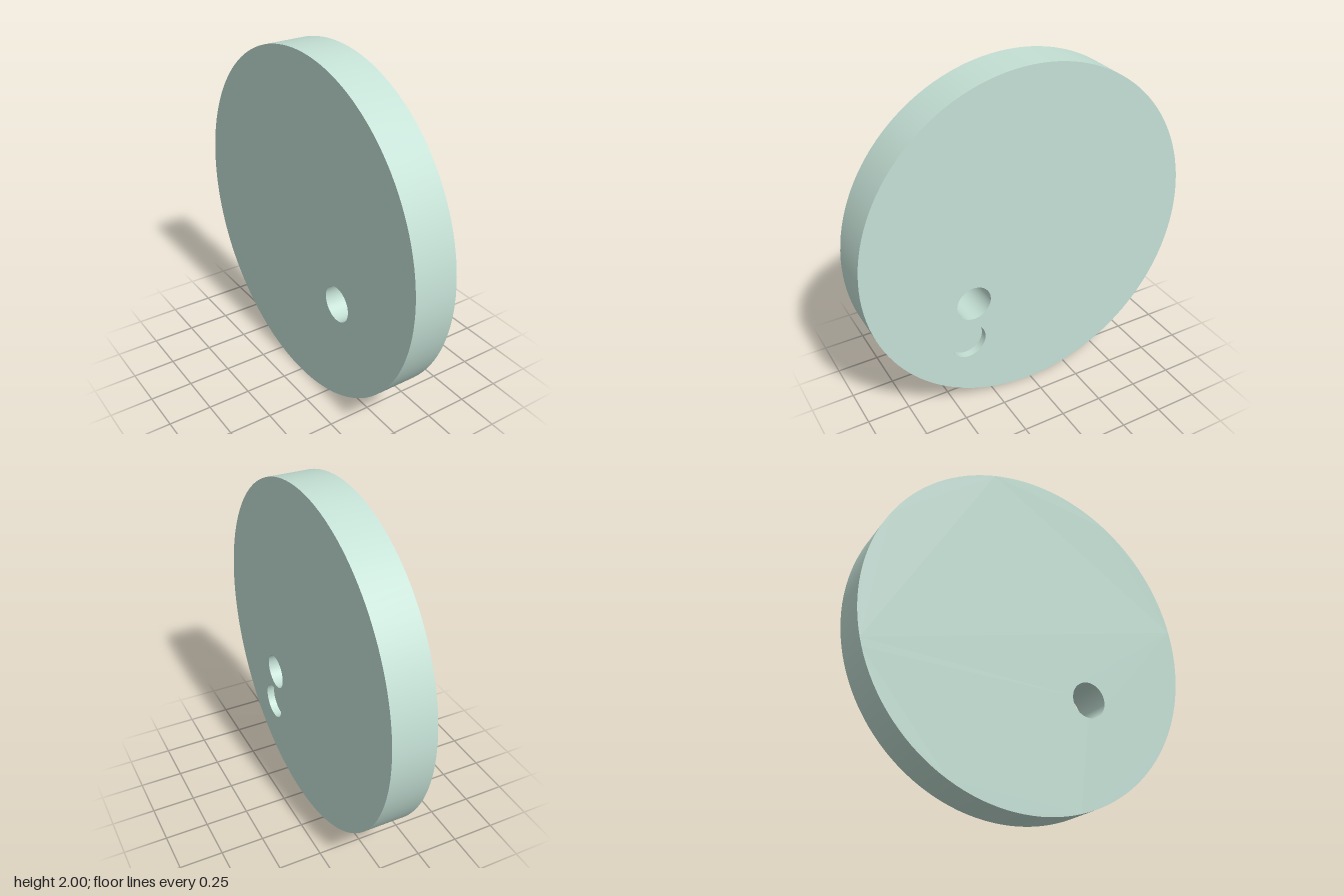
import * as THREE from 'three';

const SEGMENTS = 128;
const RADIUS = 1;
const HALF = 0.125; // half the thickness
const POCKET_DEPTH = 0.045;
// Holes in the disc's own plane; the disc axis is local z until the final turn.
const THROUGH = { x: -0.363, y: -0.315, r: 0.104 };
const POCKET = { x: -0.404, y: -0.564, r: 0.106 };

// Flat round face with circular holes, facing +z
function face(holes) {
  const shape = new THREE.Shape().absarc(0, 0, RADIUS, 0, Math.PI * 2);
  for (const h of holes) {
    shape.holes.push(new THREE.Path().absarc(h.x, h.y, h.r, 0, Math.PI * 2, true));
  }
  return new THREE.ShapeGeometry(shape, SEGMENTS / 2);
}

// Smooth round wall along z; going from high to low z turns it inward
function wall(r, from, to) {
  const profile = [new THREE.Vector2(r, from), new THREE.Vector2(r, to)];
  return new THREE.LatheGeometry(profile, SEGMENTS).rotateX(Math.PI / 2);
}

export function createModel() {
  const group = new THREE.Group();
  group.name = 'disc';
  const material = new THREE.MeshStandardMaterial({ color: 0xc4e0d5 });
  const add = (name, geometry) => {
    const mesh = new THREE.Mesh(geometry, material);
    mesh.name = name;
    // Turn the disc axis to x and stand it on the ground
    geometry.rotateY(Math.PI / 2).translate(0, RADIUS, 0);
    group.add(mesh);
  };

  // Body of the disc
  add('rim', wall(RADIUS, -HALF, HALF));
  add('holedFace', face([THROUGH, POCKET]).translate(0, 0, HALF));
  const mirrored = { ...THROUGH, x: -THROUGH.x };
  add('plainFace', face([mirrored]).rotateY(Math.PI).translate(0, 0, -HALF));

  // Hole right through the disc
  add('throughHole', wall(THROUGH.r, HALF, -HALF).translate(THROUGH.x, THROUGH.y, 0));

  // Shallow round pocket below it
  const floor = HALF - POCKET_DEPTH;
  add('pocketWall', wall(POCKET.r, HALF, floor).translate(POCKET.x, POCKET.y, 0));
  add('pocketFloor', new THREE.CircleGeometry(POCKET.r, SEGMENTS).translate(POCKET.x, POCKET.y, floor));

  return group;
}
